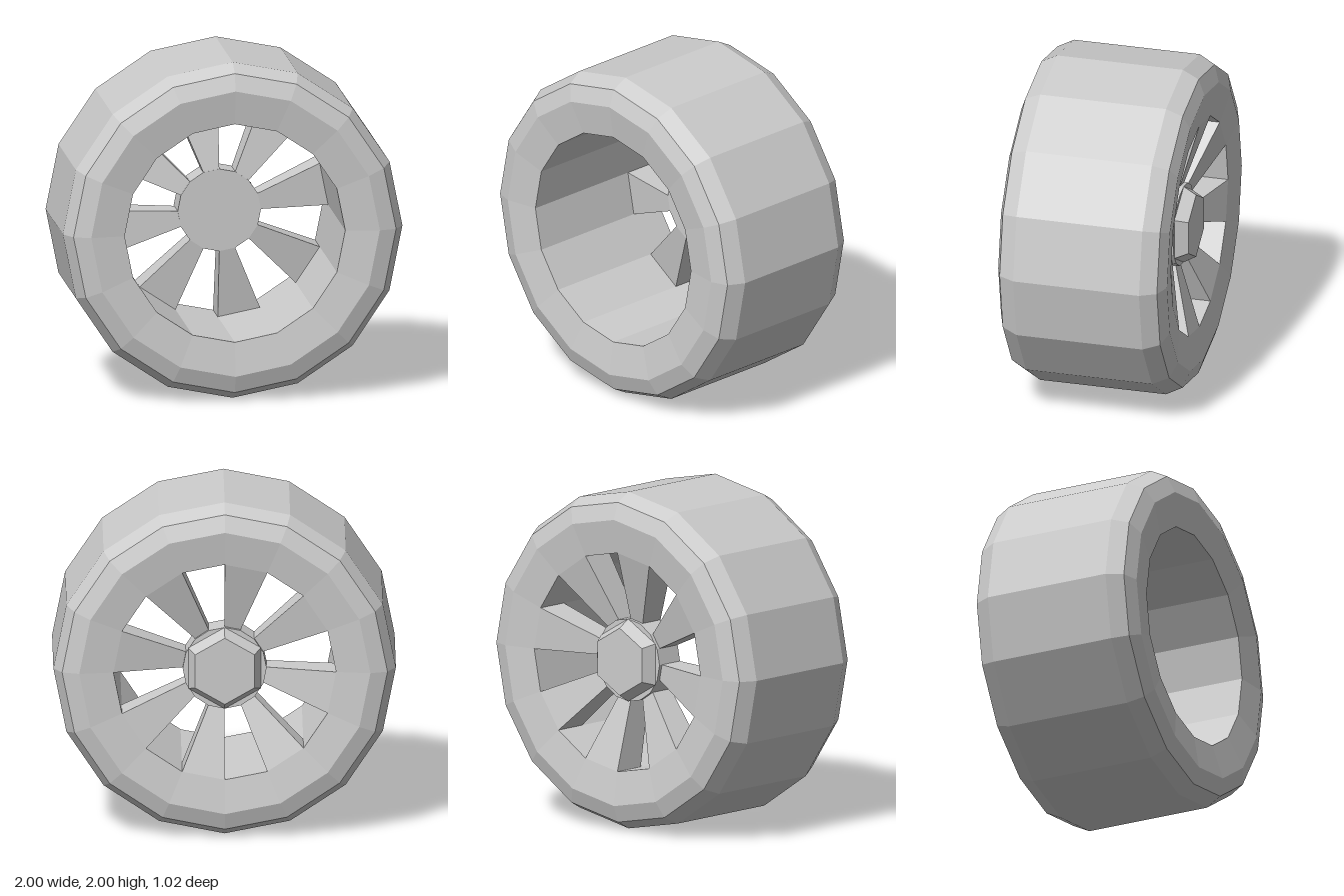
import * as THREE from 'three';

const SIDES = 16;
const STEP = (Math.PI * 2) / SIDES;
const material = new THREE.MeshStandardMaterial({ color: 0xcccccc, flatShading: true });

// Revolve [radius, z] points around the wheel axis (z)
function revolve(name, points, sides = SIDES) {
  const profile = points.map(([r, z]) => new THREE.Vector2(r, z));
  const geometry = new THREE.LatheGeometry(profile, sides).rotateX(Math.PI / 2);
  const mesh = new THREE.Mesh(geometry, material);
  mesh.name = name;
  return mesh;
}

// Wedge filling one facet of the rim, deep at the rim and thin at the hub
function spokeGeometry() {
  const geometry = new THREE.BoxGeometry(2, 2, 2);
  const p = geometry.attributes.position;
  for (let i = 0; i < p.count; i++) {
    const angle = p.getX(i) > 0 ? 0 : STEP;
    const atRim = p.getY(i) > 0;
    const front = p.getZ(i) > 0;
    const r = atRim ? 0.65 : 0.235;
    const z = atRim ? (front ? -0.275 : -0.48) : (front ? -0.205 : -0.36);
    p.setXYZ(i, r * Math.cos(angle), r * Math.sin(angle), z);
  }
  geometry.computeVertexNormals();
  return geometry;
}

export function createModel() {
  const wheel = new THREE.Group();
  wheel.name = 'wheel';

  // Tire with bevelled shoulders, slightly dished sidewalls and the inner barrel
  wheel.add(revolve('tire', [
    [0.65, -0.48], [0.85, -0.51], [0.95, -0.475], [1, -0.38],
    [1, 0.38], [0.95, 0.475], [0.85, 0.51], [0.65, 0.48], [0.65, -0.48],
  ]));

  // Eight spokes, one on every other facet
  const spoke = spokeGeometry();
  for (let i = 0; i < SIDES / 2; i++) {
    const mesh = new THREE.Mesh(spoke, material);
    mesh.name = 'spoke';
    mesh.rotation.z = i * STEP * 2;
    wheel.add(mesh);
  }

  // Hub disc and the six-sided cap on its back
  wheel.add(revolve('hub', [[0, -0.385], [0.245, -0.385], [0.245, -0.205], [0, -0.205]]));
  wheel.add(revolve('hubCap', [[0, -0.46], [0.2, -0.46], [0.245, -0.385], [0, -0.385]], 6));

  wheel.position.y = 1;
  const model = new THREE.Group();
  model.add(wheel);
  return model;
}
